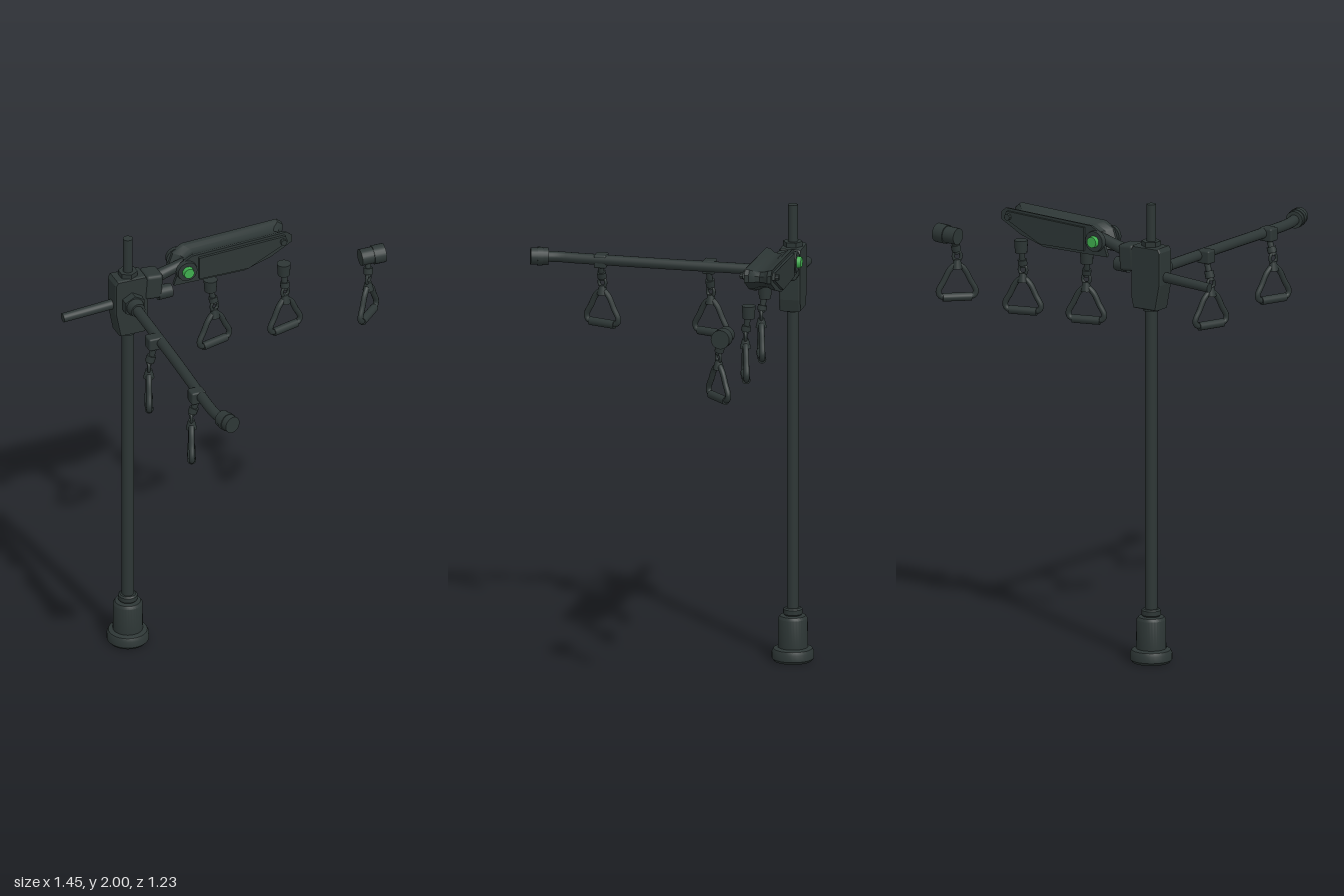
import * as THREE from 'three';
import { toCreasedNormals } from 'three/addons/utils/BufferGeometryUtils.js';
import { RoundedBoxGeometry } from 'three/addons/geometries/RoundedBoxGeometry.js';

const V = (x, y, z) => new THREE.Vector3(x, y, z);

export function createModel() {
  const model = new THREE.Group();
  const dark = new THREE.MeshStandardMaterial({ color: 0x2d3635 });
  dark.name = 'charcoal';
  const green = new THREE.MeshStandardMaterial({ color: 0x3fae4e });
  green.name = 'green';

  const add = (name, geo, mat = dark, parent = model) => {
    const mesh = new THREE.Mesh(geo, mat);
    mesh.name = name;
    parent.add(mesh);
    return mesh;
  };
  // Cylinder between two points
  const rod = (name, a, b, r, r2 = r, sides = 20, mat = dark, parent = model) => {
    const d = b.clone().sub(a);
    const m = add(name, new THREE.CylinderGeometry(r2, r, d.length(), sides), mat, parent);
    if (sides < 10) m.geometry = toCreasedNormals(m.geometry, 0.5);
    m.position.copy(a).add(b).multiplyScalar(0.5);
    m.quaternion.setFromUnitVectors(V(0, 1, 0), d.normalize());
    return m;
  };
  const box = (name, x0, x1, y0, y1, z0, z1, r = 0.01, parent = model) => {
    const m = add(name, new RoundedBoxGeometry(x1 - x0, y1 - y0, z1 - z0, 2, r), dark, parent);
    m.position.set((x0 + x1) / 2, (y0 + y1) / 2, (z0 + z1) / 2);
    return m;
  };

  // Pole and foot
  const px = -0.426, pz = -0.527;
  const foot = [[0, 0], [0.08, 0], [0.09, 0.012], [0.09, 0.04], [0.083, 0.054], [0.064, 0.06],
    [0.063, 0.185], [0.055, 0.197], [0.036, 0.2], [0.041, 0.206], [0.041, 0.226], [0.034, 0.232], [0, 0.232]];
  const footGeo = new THREE.LatheGeometry(foot.map(p => new THREE.Vector2(...p)), 32);
  add('foot', toCreasedNormals(footGeo, 0.6)).position.set(px, 0, pz);
  rod('pole', V(px, 0.22, pz), V(px, 1.56, pz), 0.026);
  rod('poleTop', V(px, 1.8, pz), V(px, 2, pz), 0.021);
  rod('topNut', V(px, 1.8, pz), V(px, 1.84, pz), 0.042, 0.042, 6);
  rod('lowerCollar', V(px, 1.535, pz), V(px, 1.56, pz), 0.034);

  // Junction block with tapered lower corners
  const blockShape = new THREE.Shape([[-0.05, 1.55], [0.06, 1.55], [0.071, 1.6], [0.071, 1.8],
    [0.062, 1.815], [-0.062, 1.815], [-0.071, 1.8], [-0.071, 1.66]].map(p => new THREE.Vector2(...p)));
  const blockGeo = new THREE.ExtrudeGeometry(blockShape, {
    depth: 0.076, bevelThickness: 0.008, bevelSize: 0.004, bevelSegments: 1 });
  add('junctionBlock', blockGeo).position.set(px, 0, pz - 0.038);

  // Forward bar with its nut and bent tip
  rod('barNut', V(px, 1.705, -0.5), V(px, 1.705, -0.445), 0.05, 0.05, 6);
  rod('barSleeve', V(px, 1.705, -0.45), V(px, 1.705, -0.41), 0.04, 0.032);
  const bar = new THREE.CatmullRomCurve3([V(-0.428, 1.705, -0.48), V(-0.435, 1.706, 0),
    V(-0.447, 1.708, 0.44), V(-0.445, 1.71, 0.495), V(-0.428, 1.712, 0.56)]);
  add('forwardBar', new THREE.TubeGeometry(bar, 50, 0.023, 16));
  rod('barCap', V(-0.436, 1.712, 0.535), V(-0.416, 1.714, 0.608), 0.037, 0.037);
  rod('barCapRim', V(-0.43, 1.712, 0.558), V(-0.424, 1.713, 0.58), 0.04, 0.04);

  // Short side bar
  rod('sideBar', V(-0.49, 1.69, pz), V(-0.725, 1.674, pz), 0.022, 0.02);

  // Hinge between block and upper arm
  const hinge = box('hingeBlock', -0.362, -0.285, 1.7, 1.815, -0.57, -0.475, 0.015);
  hinge.rotation.z = -0.08;
  rod('hingeKnob', V(-0.3, 1.71, pz + 0.02), V(-0.236, 1.71, pz + 0.02), 0.032, 0.03);
  rod('hingePin', V(-0.31, 1.775, pz), V(-0.16, 1.82, pz), 0.028, 0.022);

  // Upper arm: waisted body lofted from scaled outlines
  const outline = [[-0.24, 1.752], [-0.205, 1.85], [-0.155, 1.879], [0.28, 1.897],
    [0.304, 1.877], [0.304, 1.845], [0.205, 1.79], [0.085, 1.752]];
  const n = outline.length;
  const sections = [[-0.058, 1, 1], [-0.04, 0.99, 0.95], [-0.02, 0.89, 0.8], [0, 0.85, 0.74],
    [0.02, 0.89, 0.8], [0.04, 0.99, 0.95], [0.058, 1, 1]];
  const pos = [], idx = [];
  for (const [z, sx, sy] of sections)
    for (const [x, y] of outline) pos.push(0.035 + (x - 0.035) * sx, 1.82 + (y - 1.82) * sy, pz + z);
  for (let s = 0; s < sections.length - 1; s++)
    for (let i = 0; i < n; i++) {
      const a = s * n + i, b = s * n + (i + 1) % n;
      idx.push(a, a + n, b, b, a + n, b + n);
    }
  const last = (sections.length - 1) * n;
  for (let i = 1; i < n - 1; i++) idx.push(0, i, i + 1, last, last + i + 1, last + i);
  const bodyGeo = new THREE.BufferGeometry();
  bodyGeo.setAttribute('position', new THREE.Float32BufferAttribute(pos, 3));
  bodyGeo.setIndex(idx);
  add('armBody', toCreasedNormals(bodyGeo, 0.6));

  // Arm side plates, pivots and bolts on both faces
  const plate = new THREE.Shape([[-0.125, 1.765], [-0.125, 1.868], [0.27, 1.885], [0.282, 1.855],
    [0.1, 1.765]].map(p => new THREE.Vector2(...p)));
  const plateGeo = new THREE.ExtrudeGeometry(plate, { depth: 0.012, bevelEnabled: false });
  for (const s of [-1, 1]) {
    const at = (x, y, d) => V(x, y, pz + s * d);
    add('sidePlate', plateGeo).position.z = pz + s * 0.064 - 0.006;
    rod('pivotDisc', at(-0.18, 1.815, 0.05), at(-0.18, 1.815, 0.072), 0.047, 0.044);
    rod('pivotBolt', at(-0.18, 1.815, 0.068), at(-0.18, 1.815, 0.09), 0.026, 0.023, 16, green);
    rod('plateBolt', at(0.258, 1.862, 0.06), at(0.258, 1.862, 0.084), 0.014, 0.014, 8);
  }

  // Hanging handle: strap from the clamp, swivel, rounded triangular ring
  const loop = new THREE.CatmullRomCurve3([[0, 0.143], [-0.03, 0.122], [-0.058, 0.07], [-0.08, 0.026],
    [-0.072, 0.006], [-0.04, 0], [0.04, 0], [0.072, 0.006], [0.08, 0.026], [0.058, 0.07],
    [0.03, 0.122]].map(([x, y]) => V(x, y, 0)), true);
  const loopGeo = new THREE.TubeGeometry(loop, 66, 0.0125, 10, true);
  const linkGeo = new THREE.TorusGeometry(0.017, 0.007, 8, 16);
  const handle = (x, y, z, yaw, top) => {
    const g = new THREE.Group();
    g.name = 'hangingHandle';
    g.position.set(x, y, z);
    g.rotation.y = yaw;
    model.add(g);
    add('handleLoop', loopGeo, dark, g);
    rod('handleGrip', V(-0.062, 0, 0), V(0.062, 0, 0), 0.018, 0.018, 14, dark, g);
    rod('handleNeck', V(0, 0.125, 0), V(0, 0.165, 0), 0.024, 0.014, 14, dark, g);
    const link = add('swivelLink', linkGeo, dark, g);
    link.position.y = 0.178;
    link.scale.y = 1.2;
    const start = V(x, y + 0.19, z);
    const mid = start.clone().lerp(top, 0.45);
    rod('strap', start, top, 0.013, 0.013, 12);
    rod('strapBead', start.clone().lerp(mid, 0.3), mid, 0.02, 0.02, 12);
  };

  // Handles under the forward bar
  for (const [z, y] of [[0.31, 1.42], [-0.16, 1.405]]) {
    handle(-0.482, y, z, 1.2, V(-0.455, 1.69, z + 0.005));
    box('barClamp', -0.49, -0.425, 1.672, 1.73, z - 0.027, z + 0.027, 0.008);
  }
  // Handles under the arm
  for (const [x, y] of [[-0.053, 1.43], [0.272, 1.424]]) {
    const cx = x < 0 ? x - 0.012 : x;
    handle(x, y, -0.468, 0.27, V(cx, 1.69, -0.48));
    rod('armClamp', V(cx, 1.68, -0.482), V(cx, 1.735, -0.482), 0.026, 0.03, 14);
  }
  // Outermost handle with a horizontal end cap
  handle(0.637, 1.424, -0.428, 0.75, V(0.645, 1.7, -0.448));
  rod('endClamp', V(0.612, 1.697, -0.458), V(0.7, 1.699, -0.455), 0.036, 0.036);
  rod('endClampRim', V(0.668, 1.698, -0.456), V(0.72, 1.7, -0.452), 0.041, 0.041);

  return model;
}
